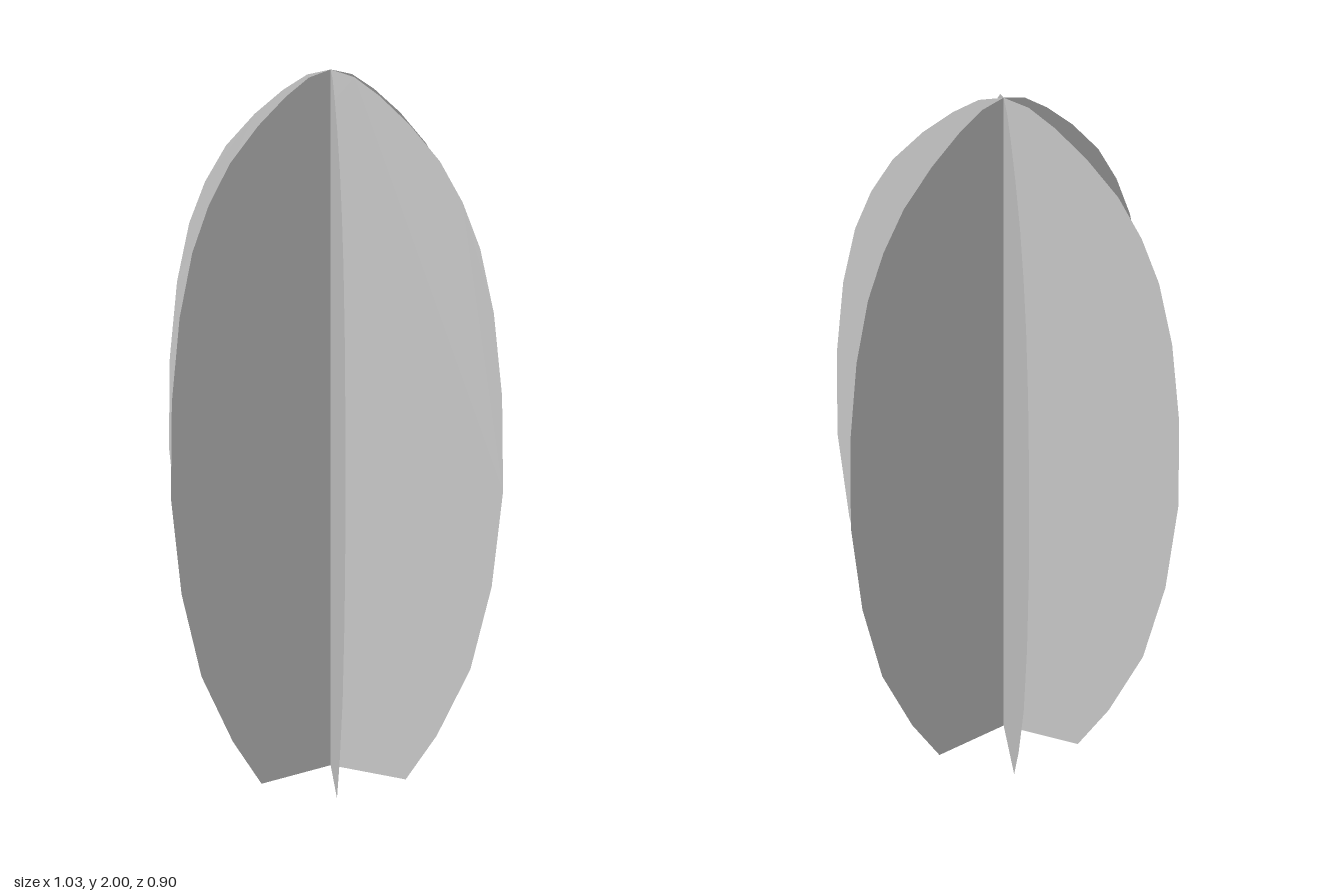
import * as THREE from 'three';

// Half outline of one leaf-shaped panel, from the base to the tip
const OUTLINE = [
  [0.237, 0], [0.331, 0.15], [0.43, 0.365], [0.489, 0.615], [0.517, 0.89],
  [0.509, 1.155], [0.481, 1.38], [0.439, 1.55], [0.387, 1.67], [0.32, 1.775],
  [0.23, 1.868], [0.143, 1.938], [0.07, 1.983], [0, 2],
];

export function createModel() {
  const group = new THREE.Group();
  group.name = 'crossedFoliage';

  const material = new THREE.MeshStandardMaterial({
    color: 0xcccccc, side: THREE.DoubleSide, flatShading: true,
  });

  // Full symmetric outline: up the right side, down the left
  const right = OUTLINE.map(([x, y]) => new THREE.Vector2(x, y));
  const left = OUTLINE.slice(0, -1).reverse().map(([x, y]) => new THREE.Vector2(-x, y));
  const geometry = new THREE.ShapeGeometry(new THREE.Shape([...right, ...left]));

  // Three thin panels crossing on the vertical axis, 60 degrees apart
  for (let i = 0; i < 3; i++) {
    const panel = new THREE.Mesh(geometry, material);
    panel.name = `leafPanel${i + 1}`;
    panel.rotation.y = (i * Math.PI) / 3;
    group.add(panel);
  }
  return group;
}
